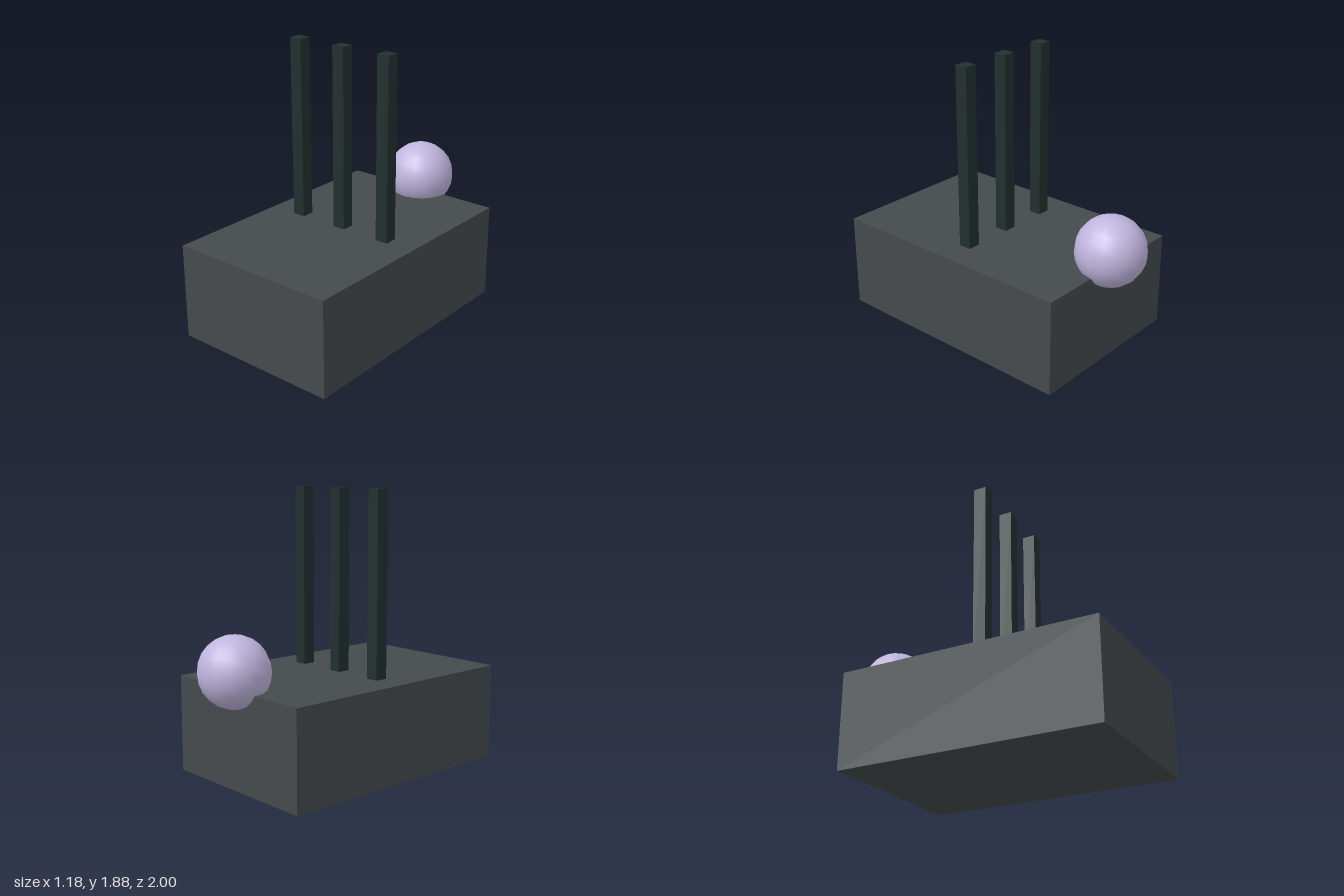
import * as THREE from 'three';

const slate = new THREE.MeshStandardMaterial({ name: 'slate grey', color: 0x454a4d });
const darkGreen = new THREE.MeshStandardMaterial({ name: 'dark green', color: 0x22302f });
const lilac = new THREE.MeshStandardMaterial({ name: 'lilac', color: 0xc0b5de });

const BASE_TOP = 0.65;

export function createModel() {
  const model = new THREE.Group();
  model.name = 'model';

  const add = (name, geometry, material, x, y, z) => {
    const mesh = new THREE.Mesh(geometry, material);
    mesh.name = name;
    mesh.position.set(x, y, z);
    model.add(mesh);
  };

  // Heavy block everything stands on
  add('base', new THREE.BoxGeometry(1.18, BASE_TOP, 1.768), slate, 0, BASE_TOP / 2, 0.116);

  // Row of three square posts
  const postHeight = 1.225;
  const post = new THREE.BoxGeometry(0.088, postHeight, 0.088);
  ['rightPost', 'middlePost', 'leftPost'].forEach((name, i) => {
    add(name, post, darkGreen, (i - 1) * 0.354, BASE_TOP + postHeight / 2, 0.115);
  });

  // Ball sunk into the rear top edge
  add('ball', new THREE.SphereGeometry(0.233, 16, 12), lilac, 0, 0.767, -0.767);

  return model;
}
